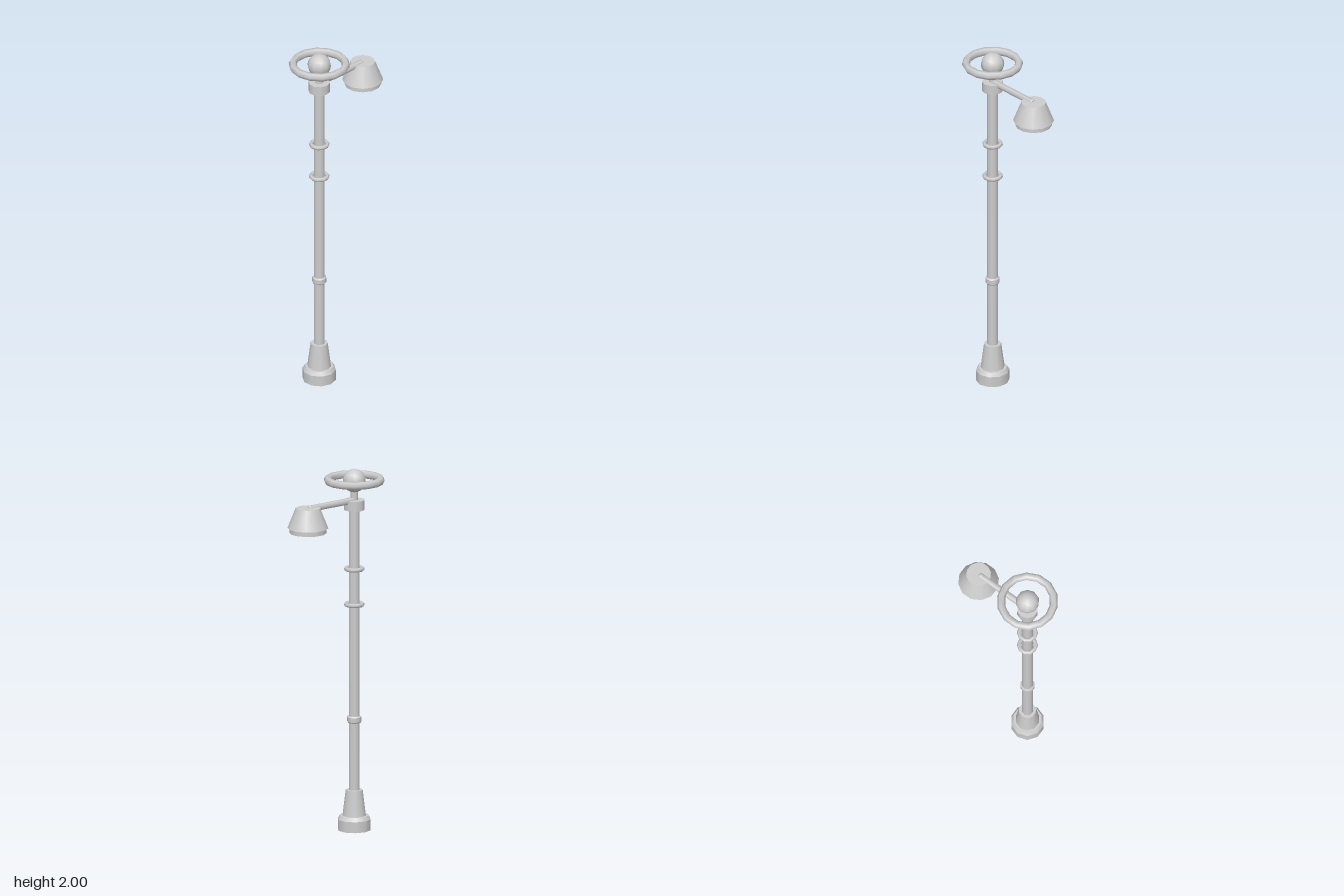
import * as THREE from 'three';

export function createModel() {
  const group = new THREE.Group();
  const metal = new THREE.MeshStandardMaterial({ color: 0xcccccc });
  metal.name = 'paleGreyMetal';

  const POST_X = -0.136, LAMP_X = 0.193;

  const add = (name, geometry, x, y) => {
    const mesh = new THREE.Mesh(geometry, metal);
    mesh.name = name;
    mesh.position.set(x, y, 0);
    group.add(mesh);
    return mesh;
  };

  // Upright tapered section from y0 to y1
  const section = (name, x, y0, y1, r0, r1, sides = 10, turn = 0) => {
    const mesh = add(name, new THREE.CylinderGeometry(r1, r0, y1 - y0, sides), x, (y0 + y1) / 2);
    mesh.rotation.y = turn;
    return mesh;
  };

  // Horizontal ring around the post
  const ring = (name, y, radius, tube, sides) => {
    add(name, new THREE.TorusGeometry(radius, tube, 6, sides).rotateX(-Math.PI / 2), POST_X, y);
  };

  // Foot with bevelled rim, tapered plinth and post
  section('foot', POST_X, 0, 0.06, 0.091, 0.091);
  section('footBevel', POST_X, 0.06, 0.081, 0.091, 0.079);
  section('plinth', POST_X, 0.081, 0.222, 0.065, 0.047);
  section('post', POST_X, 0.222, 1.776, 0.03, 0.03);

  // Bevelled band low on the post
  section('band', POST_X, 0.6, 0.625, 0.039, 0.039);
  section('bandLowerBevel', POST_X, 0.594, 0.6, 0.035, 0.039);
  section('bandUpperBevel', POST_X, 0.625, 0.632, 0.039, 0.034);

  // Two thin rings higher up
  for (const y of [1.25, 1.447]) ring('postRing', y, 0.045, 0.012, 10);

  // Collar, neck and ball finial with its halo ring
  section('collar', POST_X, 1.776, 1.83, 0.058, 0.058);
  section('neck', POST_X, 1.83, 1.9, 0.02, 0.02);
  add('finialBall', new THREE.SphereGeometry(0.064, 10, 10).rotateY(Math.PI / 2), POST_X, 1.936);
  ring('haloRing', 1.939, 0.1445, 0.022, 14);

  // Six-sided arm with a bevelled tip
  const armY = 1.827, armEnd = 0.183;
  const armPart = (name, x0, x1, r0, r1) => {
    const geometry = new THREE.CylinderGeometry(r1, r0, x1 - x0, 6).rotateZ(-Math.PI / 2);
    add(name, geometry, (x0 + x1) / 2, armY);
  };
  armPart('arm', POST_X, armEnd, 0.018, 0.018);
  armPart('armTip', armEnd, armEnd + 0.006, 0.018, 0.014);

  // Twelve-sided lamp shade with a recessed lower rim
  section('lampShade', LAMP_X, 1.722, 1.833, 0.111, 0.067, 12, Math.PI / 12);
  section('lampRim', LAMP_X, 1.695, 1.722, 0.1, 0.1, 12, Math.PI / 12);

  return group;
}
